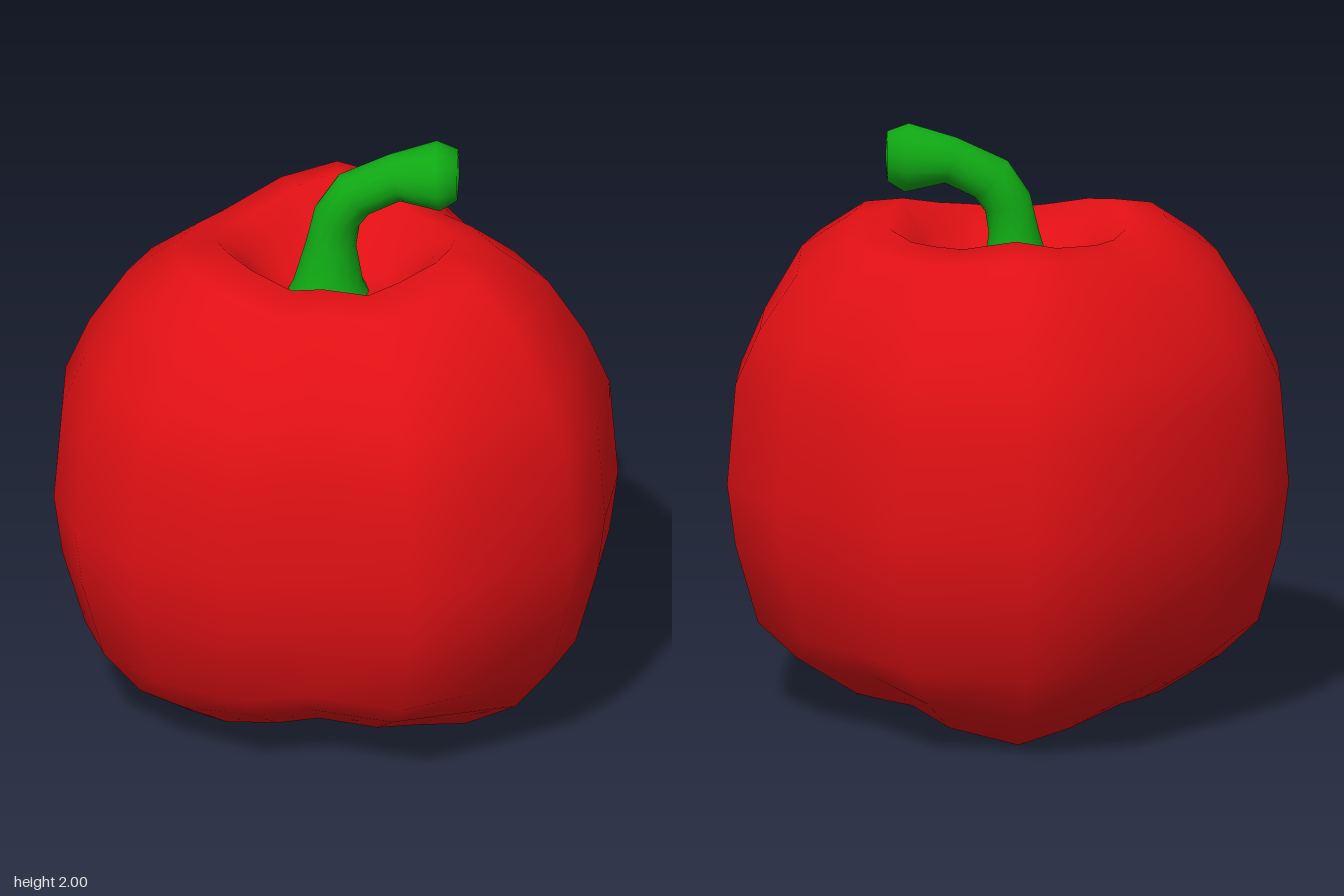
import * as THREE from 'three';

// Smooth skin over closed cross-sections, each an array of Vector3
function loft(sections) {
  const n = sections[0].length;
  const index = [];
  for (let i = 0; i < sections.length - 1; i++) {
    for (let j = 0; j < n; j++) {
      const a = i * n + j, b = i * n + (j + 1) % n;
      index.push(a, a + n, b, b, a + n, b + n);
    }
  }
  const geometry = new THREE.BufferGeometry().setFromPoints(sections.flat());
  geometry.setIndex(index);
  geometry.computeVertexNormals();
  return geometry;
}

// Widest outline of the three-lobed fruit, as x, z
const outline = [
  [0.93, -0.02], [0.90, 0.31], [0.81, 0.57], [0.52, 0.77], [0.28, 0.91], [-0.08, 0.81],
  [-0.33, 0.86], [-0.65, 0.69], [-0.85, 0.48], [-0.93, 0.23], [-0.93, -0.05], [-0.83, -0.30],
  [-0.68, -0.48], [-0.36, -0.82], [-0.04, -0.92], [0.38, -0.82], [0.60, -0.48], [0.77, -0.33],
];

// Outline scale, height on a lobe, height in a valley; from bottom hollow to top hollow
const levels = [
  [0.01, 0.22, 0.22], [0.25, 0.18, 0.20], [0.42, 0.06, 0.13], [0.54, 0, 0.08],
  [0.75, 0.13, 0.20], [0.89, 0.30, 0.31], [0.97, 0.57, 0.57], [1, 0.78, 0.78],
  [0.97, 1.12, 1.12], [0.885, 1.31, 1.30], [0.75, 1.54, 1.48], [0.57, 1.66, 1.60],
  [0.42, 1.69, 1.63], [0.32, 1.59, 1.56], [0.2, 1.46, 1.46], [0.01, 1.44, 1.44],
];

// Stem sections: x, y, radius, heading in degrees
const stemSections = [
  [-0.03, 1.42, 0.15, 90], [-0.03, 1.49, 0.115, 90], [-0.02, 1.63, 0.083, 85],
  [0, 1.73, 0.08, 68], [0.055, 1.81, 0.083, 42], [0.19, 1.875, 0.08, 15],
  [0.335, 1.885, 0.117, 4], [0.4, 1.89, 0.085, 0], [0.405, 1.89, 0.001, 0],
];

export function createModel() {
  const group = new THREE.Group();
  group.name = 'bellPepper';

  // Fruit: scaled outlines whose lobes reach higher and lower than the valleys
  const fruitRings = levels.map(([s, yLobe, yValley]) => outline.map(([x, z]) => {
    const lobe = ((1 + Math.cos(3 * (Math.atan2(z, x) + Math.PI / 2))) / 2) ** 2;
    return new THREE.Vector3(x * s, THREE.MathUtils.lerp(yValley, yLobe, lobe), z * s);
  }));
  const fruit = new THREE.Mesh(loft(fruitRings), new THREE.MeshStandardMaterial({ color: 0xe01014 }));
  fruit.name = 'fruit';
  group.add(fruit);

  // Stem: flared at the base, bent sideways, swollen at the tip
  const sides = 14;
  const stemRings = stemSections.map(([x, y, r, heading]) => {
    const t = THREE.MathUtils.degToRad(heading);
    return Array.from({ length: sides }, (_, j) => {
      const a = (j / sides) * Math.PI * 2;
      const c = r * Math.cos(a);
      return new THREE.Vector3(x + c * Math.sin(t), y - c * Math.cos(t), r * Math.sin(a));
    });
  });
  const stem = new THREE.Mesh(loft(stemRings), new THREE.MeshStandardMaterial({ color: 0x10a814 }));
  stem.name = 'stem';
  group.add(stem);

  return group;
}
